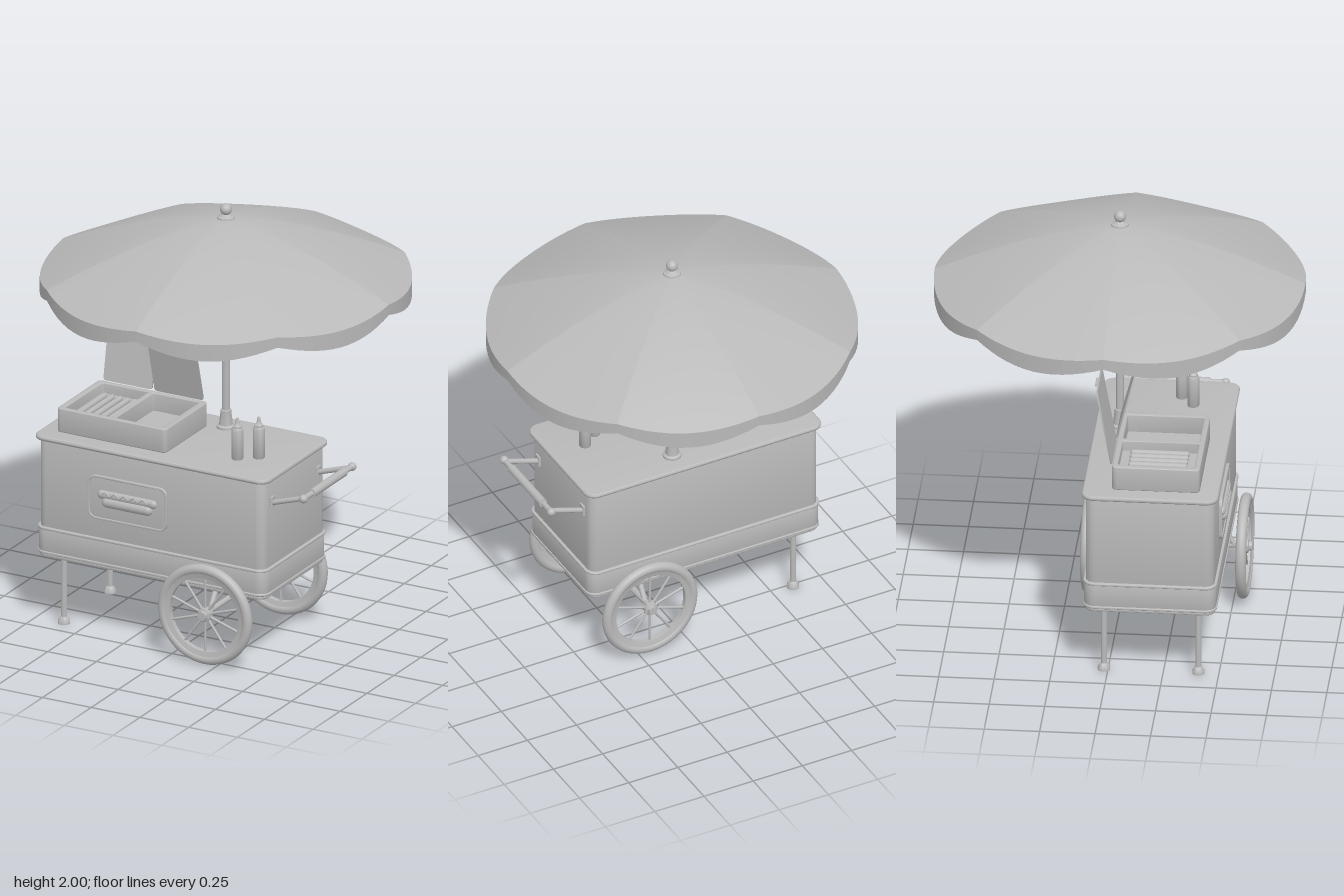
import * as THREE from 'three';
import { toCreasedNormals } from 'three/addons/utils/BufferGeometryUtils.js';

const metal = new THREE.MeshStandardMaterial({ color: 0xb9b9b9, side: THREE.DoubleSide });
metal.name = 'grey';

const V = (x, y, z) => new THREE.Vector3(x, y, z);

function add(parent, name, geometry, x = 0, y = 0, z = 0) {
  const mesh = new THREE.Mesh(geometry, metal);
  mesh.name = name;
  mesh.position.set(x, y, z);
  parent.add(mesh);
  return mesh;
}

function roundedRect(w, h, r, Type = THREE.Shape, cx = 0, cy = 0) {
  const s = new Type();
  const a = w / 2 - r, b = h / 2 - r;
  s.absarc(cx + a, cy + b, r, 0, Math.PI / 2);
  s.absarc(cx - a, cy + b, r, Math.PI / 2, Math.PI);
  s.absarc(cx - a, cy - b, r, Math.PI, Math.PI * 1.5);
  s.absarc(cx + a, cy - b, r, Math.PI * 1.5, Math.PI * 2);
  s.closePath();
  return s;
}

// Extrudes a shape to the full given depth, from z = 0, bevel included
function plate(shape, depth, bevel = 0) {
  const geo = new THREE.ExtrudeGeometry(shape, {
    depth: depth - 2 * bevel, curveSegments: 8, bevelEnabled: bevel > 0,
    bevelSize: bevel, bevelOffset: -bevel, bevelThickness: bevel, bevelSegments: 3,
  });
  geo.translate(0, 0, bevel);
  return toCreasedNormals(geo, 0.7);
}

// Horizontal slab lying between two heights
function slab(w, d, r, h, bevel) {
  return plate(roundedRect(w, d, r), h, bevel).rotateX(-Math.PI / 2);
}

function lathe(points, segments = 24) {
  const geo = new THREE.LatheGeometry(points.map(p => new THREE.Vector2(p[0], p[1])), segments);
  return toCreasedNormals(geo, 0.6);
}

// Round bar between two points
function bar(parent, name, a, b, r, r2 = r) {
  const mesh = add(parent, name, new THREE.CylinderGeometry(r2, r, a.distanceTo(b), 16));
  mesh.position.copy(a).lerp(b, 0.5);
  mesh.quaternion.setFromUnitVectors(V(0, 1, 0), b.clone().sub(a).normalize());
  return mesh;
}

const CX = -0.12, CZ = 0.195;           // cart centre

function makeBody() {
  const g = new THREE.Group();
  g.name = 'cartBody';
  add(g, 'cabinet', slab(1.16, 0.58, 0.045, 0.54, 0.004), CX, 0.365, CZ);
  add(g, 'lowerBand', slab(1.176, 0.594, 0.05, 0.12, 0.006), CX, 0.355, CZ);
  add(g, 'bandBead', slab(1.186, 0.604, 0.055, 0.014, 0.006), CX, 0.468, CZ);
  add(g, 'bottomBead', slab(1.186, 0.604, 0.055, 0.014, 0.006), CX, 0.353, CZ);
  add(g, 'underside', slab(1.165, 0.585, 0.045, 0.02, 0.006), CX, 0.336, CZ);
  add(g, 'worktop', slab(1.2, 0.615, 0.055, 0.022, 0.009), CX, 0.898, CZ);
  return g;
}

function makeBadge() {
  const g = new THREE.Group();
  g.name = 'frontPanel';
  const frame = roundedRect(0.405, 0.21, 0.04);
  frame.holes.push(roundedRect(0.385, 0.19, 0.032, THREE.Path));
  add(g, 'panelPlate', plate(roundedRect(0.395, 0.2, 0.036), 0.01, 0.002));
  add(g, 'panelFrame', plate(frame, 0.015, 0.002));
  // Snack relief: long sausage over a bun, with a wavy line of sauce
  const sausage = add(g, 'reliefSausage', new THREE.CapsuleGeometry(0.021, 0.262, 6, 16).rotateZ(Math.PI / 2), 0, 0.018, 0.008);
  sausage.scale.z = 0.8;
  const bun = add(g, 'reliefBun', new THREE.CapsuleGeometry(0.026, 0.205, 6, 16).rotateZ(Math.PI / 2), 0, -0.015, 0.008);
  bun.scale.z = 0.95;
  const wave = [];
  for (let i = 0; i <= 24; i++) wave.push(V(-0.12 + i * 0.01, 0.025 + 0.007 * Math.sin(i * 1.3), 0.023));
  add(g, 'reliefSauce', new THREE.TubeGeometry(new THREE.CatmullRomCurve3(wave), 72, 0.004, 6));
  g.position.set(-0.233, 0.68, 0.484);
  return g;
}

function makeWheel(side) {
  const g = new THREE.Group();
  g.name = side > 0 ? 'frontWheel' : 'backWheel';
  add(g, 'tyre', new THREE.TorusGeometry(0.215, 0.024, 16, 56));
  const rim = lathe([[0.176, -0.012], [0.2, -0.018], [0.2, 0.018], [0.176, 0.012], [0.176, -0.012]], 56);
  add(g, 'rim', rim.rotateX(Math.PI / 2));
  for (let i = 0; i < 10; i++) {
    const a = Math.PI / 2 + i * Math.PI / 5;
    bar(g, 'spoke', V(0, 0, 0), V(0.18 * Math.cos(a), 0.18 * Math.sin(a), 0), 0.006);
  }
  const hub = lathe([[0, -0.034], [0.02, -0.034], [0.022, -0.02], [0.032, -0.016], [0.032, 0.016], [0.022, 0.02], [0.02, 0.034], [0, 0.034]]);
  add(g, 'hub', hub.rotateX(Math.PI / 2));
  g.position.set(0.195, 0.243, CZ + side * 0.35);
  return g;
}

function makeUndercarriage() {
  const g = new THREE.Group();
  g.name = 'undercarriage';
  bar(g, 'axle', V(0.195, 0.245, -0.15), V(0.195, 0.245, 0.54), 0.013);
  for (const s of [1, -1]) {
    g.add(makeWheel(s));
    bar(g, 'axleStrut', V(0.195, 0.245, CZ + s * 0.305), V(0.195, 0.36, CZ + s * 0.232), 0.013);
    const leg = lathe([[0, 0], [0.028, 0], [0.028, 0.012], [0.018, 0.03], [0.014, 0.034], [0.014, 0.35]], 20);
    add(g, 'leg', leg, -0.605, 0, CZ + s * 0.213);
  }
  return g;
}

function makeHandle() {
  const g = new THREE.Group();
  g.name = 'pushHandle';
  for (const s of [1, -1]) {
    const z = CZ + s * 0.213;
    bar(g, 'handleArm', V(0.45, 0.782, z), V(0.63, 0.84, z), 0.012);
    add(g, 'handleMount', slab(0.012, 0.036, 0.004, 0.05), 0.463, 0.765, z);
    add(g, 'handleEnd', new THREE.SphereGeometry(0.02, 16, 12), 0.63, 0.84, CZ + s * 0.225);
  }
  bar(g, 'crossBar', V(0.63, 0.84, CZ - 0.23), V(0.63, 0.84, CZ + 0.23), 0.013);
  bar(g, 'grip', V(0.63, 0.84, CZ - 0.15), V(0.63, 0.84, CZ + 0.15), 0.02);
  return g;
}

function makeCooker() {
  const g = new THREE.Group();
  g.name = 'cooker';
  const tray = roundedRect(0.56, 0.395, 0.02);
  for (const x of [-0.13, 0.13]) tray.holes.push(roundedRect(0.235, 0.345, 0.012, THREE.Path, x, 0));
  add(g, 'tray', plate(tray, 0.115, 0.005).rotateX(-Math.PI / 2), -0.36, 0.92, 0.218);
  add(g, 'grillBed', new THREE.BoxGeometry(0.24, 0.05, 0.35), -0.49, 0.96, 0.218);
  add(g, 'binFloor', new THREE.BoxGeometry(0.24, 0.02, 0.35), -0.23, 0.94, 0.218);
  for (let i = 0; i < 5; i++) {
    const roll = new THREE.CapsuleGeometry(0.014, 0.24, 5, 12).rotateX(Math.PI / 2);
    add(g, 'sausage', roll, -0.57 + i * 0.04, 0.997, 0.218);
  }
  // Two thin lids hinged at the back, one tipped back and one tipped forward
  for (const [x, lean] of [[-0.494, -0.18], [-0.23, 0.257]]) {
    const lid = new THREE.Group();
    lid.name = 'lid';
    add(lid, 'lidPanel', plate(roundedRect(0.25, 0.368, 0.014), 0.007), 0, 0.184, -0.0035);
    add(lid, 'lidLip', new THREE.BoxGeometry(0.07, 0.008, 0.018), 0, 0.358, -0.008);
    lid.position.set(x, 1.036, 0.016);
    lid.rotation.x = lean;
    g.add(lid);
  }
  return g;
}

function makeBottle(x, z) {
  const bottle = lathe([[0, 0], [0.025, 0], [0.027, 0.004], [0.027, 0.138], [0.023, 0.148], [0.02, 0.15],
    [0.02, 0.158], [0.012, 0.166], [0.009, 0.178], [0.006, 0.196], [0, 0.197]]);
  return { geo: bottle, x, z };
}

// Umbrella with eight panels that sag between the ribs
const R = 0.836;
const ribY = t => 1.935 - 0.263 * Math.pow(t, 1.45);

function makeUmbrella() {
  const g = new THREE.Group();
  g.name = 'umbrella';
  const pole = [[0, 0.915], [0.042, 0.915], [0.042, 0.93], [0.031, 0.936], [0.03, 0.945], [0.024, 1.0], [0.024, 1.006], [0.0175, 1.008], [0.0175, 1.93]];
  add(g, 'pole', lathe(pole));
  add(g, 'finialCollar', lathe([[0.042, 1.925], [0.04, 1.938], [0.022, 1.944], [0.015, 1.952], [0.015, 1.965]]));
  add(g, 'finialBall', new THREE.SphereGeometry(0.027, 24, 16), 0, 1.973, 0);
  for (let k = 0; k < 8; k++) {
    const panel = new THREE.PlaneGeometry(1, 1, 14, 14);
    const valance = new THREE.PlaneGeometry(1, 1, 14, 3);
    for (const geo of [panel, valance]) {
      const p = geo.attributes.position;
      for (let i = 0; i < p.count; i++) {
        const u = p.getX(i) + 0.5, v = p.getY(i) + 0.5;
        const a = (k + u) * Math.PI / 4, lobe = Math.sin(u * Math.PI);
        const t = geo === panel ? v : 1;
        const drop = geo === panel ? 0 : v * (0.05 + 0.03 * lobe);
        p.setXYZ(i, R * t * Math.cos(a), ribY(t) - 0.026 * t * t * lobe - drop, R * t * Math.sin(a));
      }
      geo.computeVertexNormals();
    }
    add(g, 'canopyPanel', panel);
    add(g, 'valance', valance);
    // Rib under each seam
    const a = k * Math.PI / 4, path = [];
    for (let i = 0; i <= 6; i++) {
      const t = 0.02 + 0.96 * i / 6;
      path.push(V(R * t * Math.cos(a), ribY(t) - 0.008, R * t * Math.sin(a)));
    }
    add(g, 'rib', new THREE.TubeGeometry(new THREE.CatmullRomCurve3(path), 16, 0.005, 6));
  }
  return g;
}

export function createModel() {
  const cart = new THREE.Group();
  cart.name = 'foodCart';
  cart.add(makeBody(), makeBadge(), makeUndercarriage(), makeHandle(), makeCooker(), makeUmbrella());
  for (const b of [makeBottle(0.23, 0.31), makeBottle(0.308, 0.252)]) add(cart, 'sauceBottle', b.geo, b.x, 0.92, b.z);
  return cart;
}
